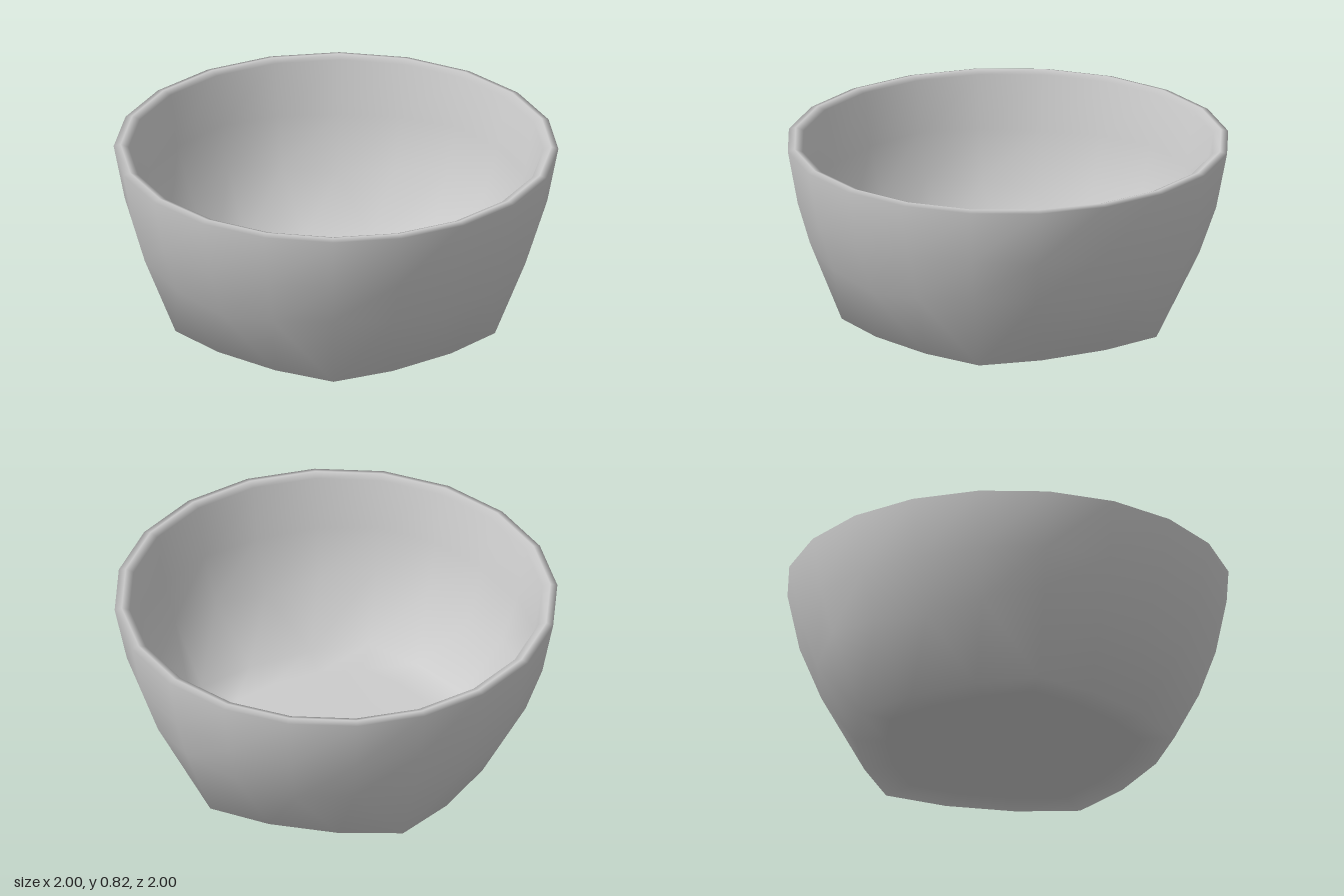
import * as THREE from 'three';

// Ring of n points; radius and height swell by dr, dy toward five soft corners
function ring(n, r, y, dr = 0, dy = 0) {
  return Array.from({ length: n }, (_, i) => {
    const t = Math.PI + (i / n) * Math.PI * 2;
    const c = Math.cos(5 * (t - Math.PI));
    const rad = r + dr * c;
    return [rad * Math.cos(t), y + dy * c, rad * Math.sin(t)];
  });
}

// Five-cornered ring with three pieces per bulging side
function pentagonRing(corner, side, y) {
  const points = [];
  for (let k = 0; k < 5; k++) {
    [[corner, 0], [side, 22.6], [side, 49.4]].forEach(([r, deg]) => {
      const t = THREE.MathUtils.degToRad(180 + 72 * k + deg);
      points.push([r * Math.cos(t), y, r * Math.sin(t)]);
    });
  }
  return points;
}

// Stitch successive rings, whose point counts may differ
function loft(rings) {
  const index = [];
  let start = 0;
  for (let k = 0; k + 1 < rings.length; k++) {
    const na = rings[k].length, nb = rings[k + 1].length;
    const a = (i) => start + (i % na), b = (j) => start + na + (j % nb);
    const endA = na === 1 ? 0 : na, endB = nb === 1 ? 0 : nb;
    let i = 0, j = 0;
    while (i < endA || j < endB) {
      if (j >= endB || (i < endA && (i + 1) / na <= (j + 1) / nb)) {
        index.push(a(i), b(j), a(i + 1));
        i++;
      } else {
        index.push(a(i), b(j), b(j + 1));
        j++;
      }
    }
    start += na;
  }
  const geometry = new THREE.BufferGeometry();
  geometry.setAttribute('position', new THREE.Float32BufferAttribute(rings.flat(2), 3));
  geometry.setIndex(index);
  geometry.computeVertexNormals();
  return geometry;
}

export function createModel() {
  const group = new THREE.Group();
  group.name = 'bowl';
  const material = new THREE.MeshStandardMaterial({ color: 0xcccccc });

  const rings = [
    // underside
    [[0, 0, 0]],
    pentagonRing(0.6, 0.55, 0),
    pentagonRing(0.755, 0.69, 0),
    // outer wall
    ring(20, 0.873, 0.33, 0.027, 0.04),
    ring(20, 0.95, 0.55, 0.005, 0.01),
    ring(20, 1, 0.808),
    // rounded lip
    ring(20, 0.968, 0.817),
    ring(20, 0.932, 0.803),
    // inner wall
    ring(20, 0.89, 0.56, 0.005, 0.01),
    ring(20, 0.815, 0.34, 0.025, 0.04),
    // inner floor
    pentagonRing(0.7, 0.64, 0.06),
    pentagonRing(0.52, 0.48, 0.05),
    [[0, 0.05, 0]],
  ];

  const shell = new THREE.Mesh(loft(rings), material);
  shell.name = 'bowlShell';
  group.add(shell);
  return group;
}
